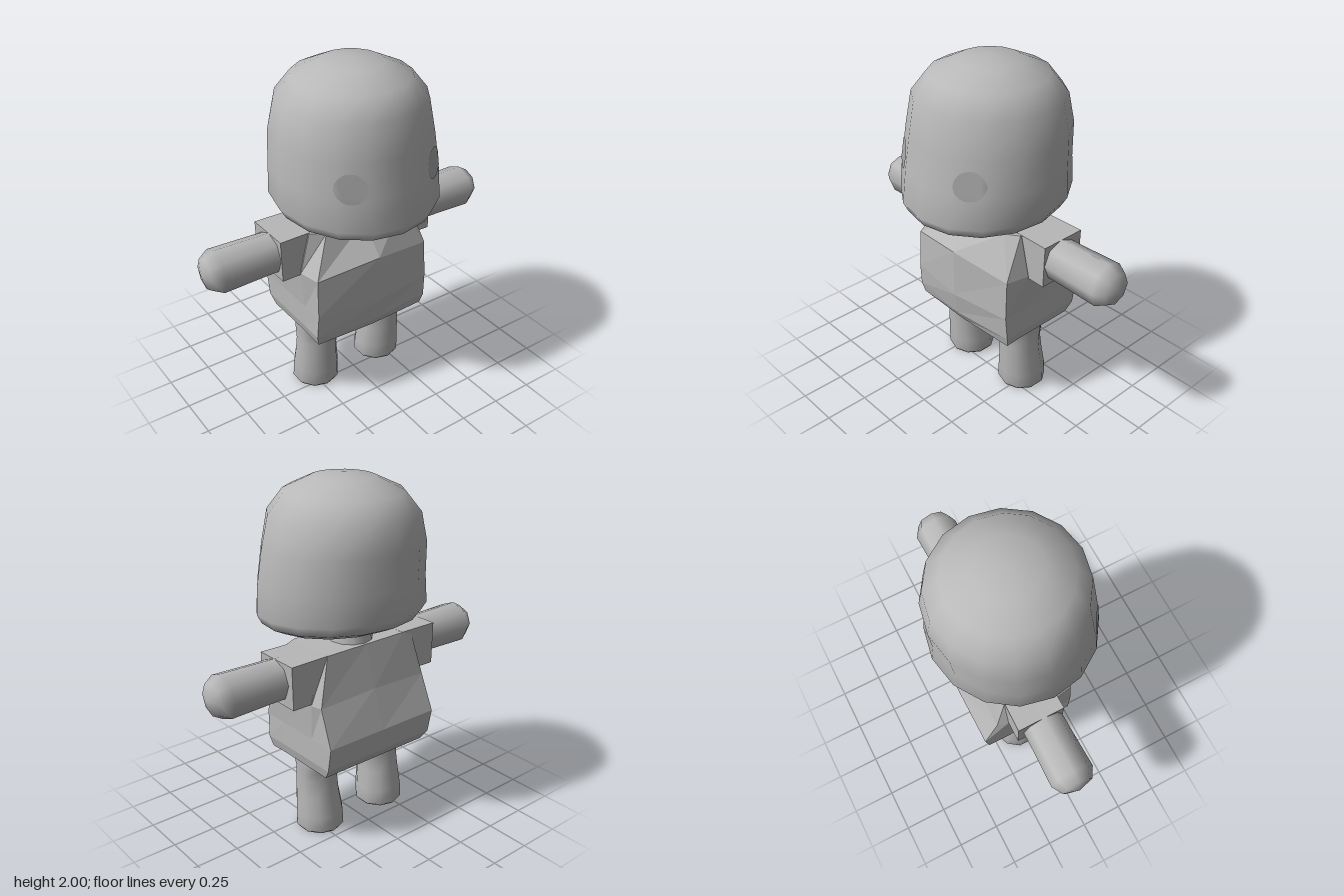
import * as THREE from 'three';

const skin = new THREE.MeshStandardMaterial({ color: 0xb8b8b8 });
skin.name = 'soft grey';
const cloth = new THREE.MeshStandardMaterial({ color: 0xb8b8b8, side: THREE.DoubleSide });
cloth.name = 'shirt grey';
const eyeGrey = new THREE.MeshStandardMaterial({ color: 0xa6a6a6 });
eyeGrey.name = 'eye grey';

// Joins closed rings of [x, y, z] points, listed bottom to top and counter-clockwise from above.
function loft(rings, { flat = false, bottom, top } = {}) {
  const n = rings[0].length;
  const pos = rings.flat(2);
  const index = [];
  for (let i = 0; i < rings.length - 1; i++) {
    for (let j = 0; j < n; j++) {
      const k = (j + 1) % n;
      const a = i * n + j, b = i * n + k, c = b + n, d = a + n;
      index.push(a, b, c, a, c, d);
    }
  }
  const cap = (point, start, up) => {
    const centre = pos.length / 3;
    pos.push(...point);
    for (let j = 0; j < n; j++) {
      const a = start + j, b = start + (j + 1) % n;
      index.push(centre, ...(up ? [a, b] : [b, a]));
    }
  };
  if (bottom) cap(bottom, 0, false);
  if (top) cap(top, (rings.length - 1) * n, true);
  let geo = new THREE.BufferGeometry();
  geo.setAttribute('position', new THREE.Float32BufferAttribute(pos, 3));
  geo.setIndex(index);
  if (flat) geo = geo.toNonIndexed();
  geo.computeVertexNormals();
  return geo;
}

// Oval ring whose height may tilt from front to back.
function oval(n, { x = 0, rx, front, back, yFront, yBack = yFront }) {
  const c = (front + back) / 2, rz = (front - back) / 2;
  return Array.from({ length: n }, (_, j) => {
    const a = (j / n) * Math.PI * 2;
    const t = (1 + Math.cos(a)) / 2;
    return [x + rx * Math.sin(a), yBack + (yFront - yBack) * t, c + rz * Math.cos(a)];
  });
}

function add(parent, name, geometry, material) {
  const mesh = new THREE.Mesh(geometry, material);
  mesh.name = name;
  parent.add(mesh);
  return mesh;
}

export function createModel() {
  const model = new THREE.Group();
  model.name = 'figure';

  // Head: rounded block, chin lower than the nape
  const headRings = [
    // half width, front z, back z, front y, back y
    [0.22, 0.24, -0.17, 1.13, 1.16],
    [0.36, 0.38, -0.32, 1.145, 1.2],
    [0.44, 0.45, -0.42, 1.18, 1.25],
    [0.47, 0.475, -0.465, 1.23, 1.31],
    [0.467, 0.45, -0.445, 1.41, 1.46],
    [0.45, 0.42, -0.455, 1.6, 1.65],
    [0.41, 0.39, -0.43, 1.8, 1.8],
    [0.32, 0.31, -0.345, 1.91, 1.91],
    [0.17, 0.16, -0.19, 1.98, 1.98],
  ].map(([rx, front, back, yFront, yBack]) => oval(16, { rx, front, back, yFront, yBack }));
  const head = add(model, 'head', loft(headRings, { bottom: [0, 1.13, 0.03], top: [0, 2, -0.015] }), skin);

  // Eyes: thin discs laid onto the curve of the face
  const ray = new THREE.Raycaster();
  for (const s of [1, -1]) {
    const geo = new THREE.RingGeometry(0.0005, 1, 24, 6);
    geo.scale(0.073, 0.08, 1);
    geo.translate(s * 0.262, 1.475, 0);
    const p = geo.attributes.position;
    for (let i = 0; i < p.count; i++) {
      ray.set(new THREE.Vector3(p.getX(i), p.getY(i), 2), new THREE.Vector3(0, 0, -1));
      const hit = ray.intersectObject(head)[0];
      p.setZ(i, (hit ? hit.point.z : 0.36) + 0.005);
    }
    geo.computeVertexNormals();
    add(model, s > 0 ? 'leftEye' : 'rightEye', geo, eyeGrey);
  }

  // Neck
  const neck = add(model, 'neck', new THREE.CylinderGeometry(0.11, 0.14, 0.14, 12, 1, true), skin);
  neck.position.set(0, 1.11, -0.075);

  // Shirt: faceted body, half section from front middle round the left side to back middle
  const shirtRings = [
    [[0, 0.44, 0.19], [0.36, 0.44, 0.175], [0.355, 0.44, 0.06], [0.355, 0.44, -0.2], [0.355, 0.44, -0.3], [0, 0.44, -0.3]],
    [[0, 0.5, 0.225], [0.375, 0.5, 0.19], [0.37, 0.5, 0.06], [0.37, 0.5, -0.2], [0.37, 0.5, -0.34], [0, 0.5, -0.34]],
    [[0, 0.64, 0.25], [0.37, 0.64, 0.2], [0.37, 0.64, 0.06], [0.37, 0.64, -0.2], [0.372, 0.64, -0.365], [0, 0.64, -0.365]],
    [[0, 0.925, 0.25], [0.365, 0.87, 0.19], [0.39, 0.87, 0.06], [0.385, 0.85, -0.22], [0.365, 0.845, -0.28], [0, 0.86, -0.285]],
    [[0, 1.1, 0.11], [0.25, 1.095, 0.105], [0.33, 1.1, 0.06], [0.33, 1.1, -0.21], [0.27, 1.1, -0.215], [0, 1.1, -0.215]],
  ].map((half) => [...half, ...half.slice(1, -1).reverse().map(([x, y, z]) => [-x, y, z])]);
  add(model, 'shirt', loft(shirtRings, { flat: true, top: [0, 1.105, -0.05] }), cloth);

  // Hips under the hem
  const hips = [
    [0.24, 0.06, -0.18, 0.4],
    [0.32, 0.1, -0.21, 0.425],
    [0.345, 0.13, -0.24, 0.47],
    [0.34, 0.13, -0.24, 0.62],
  ].map(([rx, front, back, yFront]) => oval(16, { rx, front, back, yFront }));
  add(model, 'hips', loft(hips, { bottom: [0, 0.4, -0.07], top: [0, 0.64, -0.06] }), skin);

  for (const s of [1, -1]) {
    const side = s > 0 ? 'left' : 'right';

    // Boxy sleeve, a little wider at the cuff
    const sleeveGeo = new THREE.BoxGeometry(0.24, 0.245, 0.275);
    const p = sleeveGeo.attributes.position;
    for (let i = 0; i < p.count; i++) {
      if (p.getX(i) * s < 0) p.setZ(i, p.getZ(i) * 0.97);
      else if (p.getY(i) < 0) p.setX(i, p.getX(i) - s * 0.005);
    }
    sleeveGeo.computeVertexNormals();
    add(model, side + 'Sleeve', sleeveGeo, cloth).position.set(s * 0.385, 0.979, -0.082);

    // Eight-sided arm with a blunt rounded hand
    const armRings = [[0.116, 0.3], [0.12, 0.6], [0.126, 0.83], [0.09, 0.89]].map(
      ([r, y]) => oval(8, { rx: r, front: r, back: -r, yFront: y }));
    const arm = add(model, side + 'Arm', loft(armRings, { top: [0, 0.915, 0] }), skin);
    arm.rotation.z = -s * Math.PI / 2;
    arm.position.set(0, 0.985, -0.067);

    // Leg, flared to a flat foot
    const legRings = [
      // centre x, half width, front z, back z, y
      [0.226, 0.128, 0.05, -0.208, 0],
      [0.226, 0.14, 0.06, -0.22, 0.016],
      [0.226, 0.137, 0.062, -0.215, 0.1],
      [0.229, 0.125, 0.064, -0.19, 0.22],
      [0.228, 0.122, 0.066, -0.175, 0.32],
      [0.22, 0.13, 0.07, -0.19, 0.39],
      [0.2, 0.15, 0.11, -0.22, 0.44],
    ].map(([x, rx, front, back, yFront]) => oval(10, { x: s * x, rx, front, back, yFront }));
    add(model, side + 'Leg', loft(legRings, { bottom: [s * 0.226, 0, -0.08] }), skin);
  }

  return model;
}
